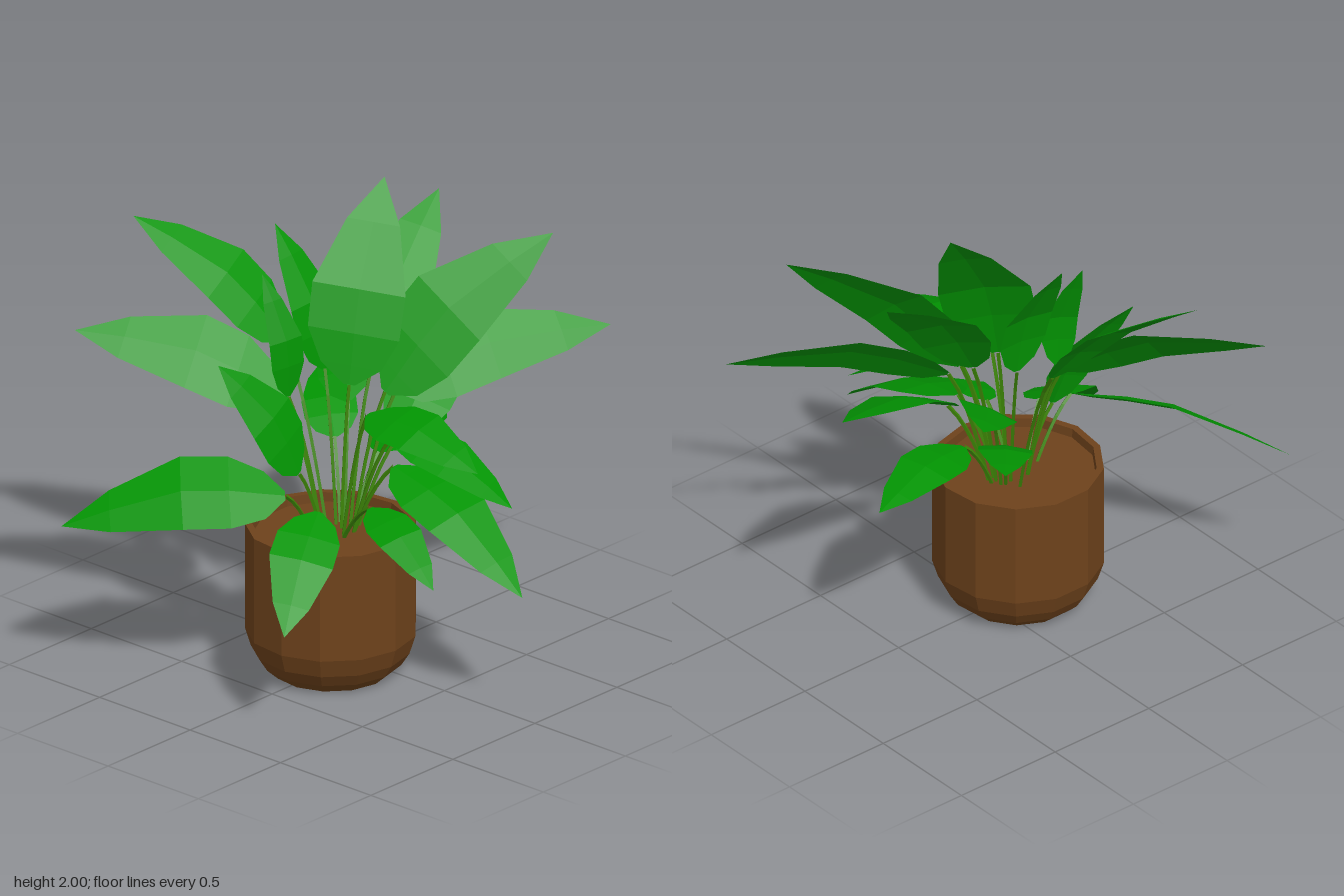
import * as THREE from 'three';

const UP = new THREE.Vector3(0, 1, 0);

// faceted normals for the low-poly look
function facet(geometry) {
  const g = geometry.toNonIndexed();
  g.computeVertexNormals();
  return g;
}

// each leaf: base, tip, roll about its length in degrees, and a width factor where it is unusual
const LEAVES = [
  // left and back fan
  [[-0.42, 0.86, 0], [-0.98, 0.69, -0.73], 36, 1.05],
  [[-0.2, 1.17, -0.2], [-0.71, 1.43, -0.9], 48],
  [[0, 1.31, -0.38], [-0.31, 1.8, -0.94], 27],
  [[-0.2, 1.18, -0.18], [-0.23, 1.7, -0.3], 35, 0.62],
  [[-0.28, 0.9, -0.05], [-0.52, 1.39, -0.28], 46],
  // tall upright leaves
  [[-0.03, 1.23, 0], [0.34, 2, -0.14], -25, 1.22],
  [[0.01, 1.24, -0.17], [-0.03, 1.83, -0.41], 12, 0.9],
  [[0.12, 1.23, -0.02], [0.7, 1.825, -0.165], -25],
  [[0.1, 1.18, 0.08], [0.75, 1.78, 0.42], -55, 1.08],
  // right-hand fan
  [[0.17, 1.17, 0.08], [0.98, 1.33, 0.53], -52, 0.92],
  [[0.14, 0.98, 0.12], [0.86, 1.3, -0.07], -15],
  [[0.17, 0.86, -0.02], [0.72, 0.83, -0.14], 4],
  [[0.12, 1.07, -0.14], [0.48, 1.32, -0.52], 20],
  [[0.08, 0.91, -0.18], [0.36, 1.05, -0.515], 5],
  // front drooping leaves
  [[0, 0.92, 0.22], [-0.01, 0.545, 0.94], -12],
  [[-0.02, 1.08, 0.24], [0.165, 0.825, 0.725], -12, 1.05],
  [[-0.14, 1.19, 0.2], [-0.11, 1.085, 0.785], -17],
  [[-0.18, 0.8, 0.25], [-0.31, 0.61, 0.72], -15, 0.8],
  [[-0.35, 0.8, 0.12], [-0.84, 0.47, 0.375], 14],
];

// position along the midrib and relative width
const OUTLINE = [[0, 0.12], [0.1, 0.65], [0.27, 0.98], [0.5, 1], [0.8, 0.57], [1, 0]];

// blade: arched midrib, width growing with length, three points per row with a gentle fold
function leafGeometry(base, tip, roll, widthFactor) {
  const along = tip.clone().sub(base);
  const length = along.length();
  along.normalize();
  const across = new THREE.Vector3().crossVectors(along, UP).normalize();
  const rise = new THREE.Vector3().crossVectors(across, along);
  const mid = base.clone().lerp(tip, 0.45).addScaledVector(rise, 0.085 * length);
  const rib = new THREE.CatmullRomCurve3([base, mid, tip]);

  const angle = THREE.MathUtils.degToRad(roll);
  const halfWidth = (0.06 + 0.115 * length) * widthFactor;
  const side = across.clone().applyAxisAngle(along, -angle).multiplyScalar(halfWidth);
  const fold = rise.clone().applyAxisAngle(along, -angle).multiplyScalar(halfWidth * 0.06);
  const points = [];
  const index = [];
  OUTLINE.forEach(([t, w], row) => {
    const centre = rib.getPoint(t);
    for (const k of [-1, 0, 1]) {
      const p = centre.clone().addScaledVector(side, k * w).addScaledVector(fold, k ? -w : w * 0.5);
      points.push(p.x, p.y, p.z);
    }
    if (row === 0) return;
    for (const k of [0, 1]) {
      const a = (row - 1) * 3 + k;
      const b = row * 3 + k;
      index.push(a, b + 1, a + 1, a, b, b + 1);
    }
  });
  const g = new THREE.BufferGeometry();
  g.setAttribute('position', new THREE.Float32BufferAttribute(points, 3));
  g.setIndex(index);
  return facet(g);
}

// stem arching from the soil to the leaf base
function stemGeometry(base) {
  const root = new THREE.Vector3(-0.11 + (base.x + 0.11) * 0.4, 0.59, base.z * 0.25);
  const bend = root.clone().lerp(base, 0.5).setY(0.6 + (base.y - 0.6) * 0.75);
  return facet(new THREE.TubeGeometry(new THREE.QuadraticBezierCurve3(root, bend, base), 6, 0.009, 4));
}

function makeMaterial(name, color, side = THREE.FrontSide) {
  const m = new THREE.MeshStandardMaterial({ color, side });
  m.name = name;
  return m;
}

function addMesh(parent, name, geometry, material) {
  const mesh = new THREE.Mesh(geometry, material);
  mesh.name = name;
  parent.add(mesh);
  return mesh;
}

export function createModel() {
  const model = new THREE.Group();
  model.name = 'pottedPlant';
  const leafGreen = makeMaterial('leafGreen', 0x029402, THREE.DoubleSide);
  const stemGreen = makeMaterial('stemGreen', 0x3c8506);
  const potBrown = makeMaterial('potBrown', 0x6e421b);

  // pot with rounded foot and open rim
  const SIDES = 13;
  const profile = [
    [0, 0], [0.245, 0], [0.295, 0.045], [0.33, 0.1], [0.355, 0.18], [0.355, 0.645], [0.325, 0.645], [0.32, 0.58],
  ].map(([r, y]) => new THREE.Vector2(r, y));
  const pot = addMesh(model, 'pot', facet(new THREE.LatheGeometry(profile, SIDES)), potBrown);
  pot.position.x = -0.138;

  const soil = addMesh(model, 'soil', new THREE.CircleGeometry(0.325, SIDES), potBrown);
  soil.rotation.set(-Math.PI / 2, 0, -Math.PI / 2);
  soil.position.set(-0.138, 0.605, 0);

  // each leaf on its own stem
  LEAVES.forEach(([b, t, roll, widthFactor = 1], i) => {
    const base = new THREE.Vector3(...b);
    const tip = new THREE.Vector3(...t);
    const frond = new THREE.Group();
    frond.name = `frond${i + 1}`;
    addMesh(frond, 'leaf', leafGeometry(base, tip, roll, widthFactor), leafGreen);
    addMesh(frond, 'stem', stemGeometry(base), stemGreen);
    model.add(frond);
  });

  return model;
}
